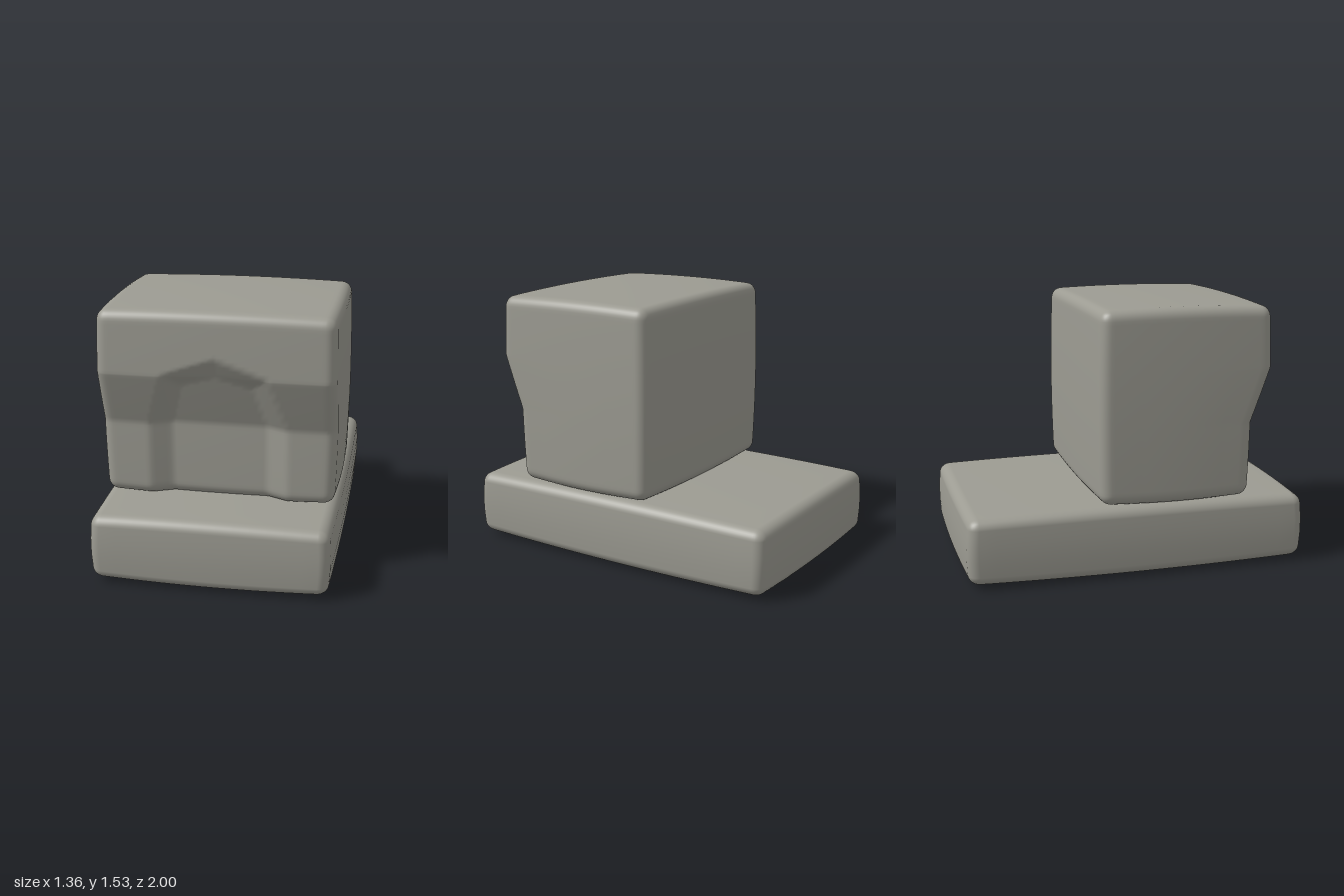
import * as THREE from 'three';
import { mergeVertices } from 'three/addons/utils/BufferGeometryUtils.js';

const { clamp } = THREE.MathUtils;

// Grid lines through the given stops, with every gap split into even steps
function gridLines(stops, step) {
  const lines = [stops[0]];
  for (let i = 1; i < stops.length; i++) {
    const a = stops[i - 1], b = stops[i];
    const n = Math.max(1, Math.ceil((b - a) / step - 1e-6));
    for (let k = 1; k <= n; k++) lines.push(a + ((b - a) * k) / n);
  }
  return lines;
}

// Pillow-like block between min and max: rounded edges, slightly bulging faces,
// then an optional sculpting rule applied to each vertex
function softBlock(min, max, radius, bulge, step, extraStops = [[], [], []], sculpt) {
  const axes = [0, 1, 2].map((a) => {
    const lo = min[a], hi = max[a];
    const stops = [lo, lo + radius, ...extraStops[a], hi - radius, hi];
    const lines = gridLines(stops, step);
    // finer lines across the rounded edges
    const fine = gridLines([lo, lo + radius], radius / 4);
    const fineEnd = gridLines([hi - radius, hi], radius / 4);
    const middle = lines.filter((v) => v > lo + radius + 1e-6 && v < hi - radius - 1e-6);
    return [...fine, ...middle, ...fineEnd];
  });
  const geo = new THREE.BoxGeometry(1, 1, 1, ...axes.map((l) => l.length - 1));
  const pos = geo.attributes.position;
  const p = new THREE.Vector3(), q = new THREE.Vector3();
  const innerMin = new THREE.Vector3(...min).addScalar(radius);
  const innerMax = new THREE.Vector3(...max).subScalar(radius);
  for (let i = 0; i < pos.count; i++) {
    p.fromBufferAttribute(pos, i);
    p.fromArray(p.toArray().map((v, a) => axes[a][Math.round((v + 0.5) * (axes[a].length - 1))]));
    q.copy(p).clamp(innerMin, innerMax);
    p.sub(q).setLength(radius).add(q);
    const u = p.toArray().map((v, a) => (2 * (v - min[a])) / (max[a] - min[a]) - 1);
    const s = u.map((v) => v * v);
    p.x -= u[0] * bulge * (s[1] + s[2]) * 0.6;
    p.y -= u[1] * bulge * (s[0] + s[2]) * 0.6;
    p.z -= u[2] * bulge * (s[0] + s[1]) * 0.6;
    if (sculpt) sculpt(p);
    pos.setXYZ(i, p.x, p.y, p.z);
  }
  geo.deleteAttribute('uv');
  geo.deleteAttribute('normal');
  const merged = mergeVertices(geo, 1e-5);
  merged.computeVertexNormals();
  return merged;
}

// How far a front point lies inside the arched niche: 0 at its rim, 1 on its floor
function nicheDepth(x, y) {
  const ax = Math.abs(x);
  const jamb = (0.39 - ax) / 0.12;
  const rimX = 0.39 - (y - 0.85) * 0.3125, floorX = 0.27 - (y - 0.85) * 0.28;
  const shoulder = (rimX - ax) / (rimX - floorX);
  const rimY = 1.27 - 0.345 * ax, floorY = 1.16 - 0.3 * ax;
  const crown = (rimY - y) / (rimY - floorY);
  return clamp(Math.min(jamb, shoulder, crown), 0, 1);
}

// Steps the lower front back and presses the niche into it
function sculptFront(p) {
  const weight = clamp(p.z / 0.6, 0, 1);
  const stepBack = 0.115 * clamp((1.16 - p.y) / 0.31, 0, 1);
  p.z -= weight * (stepBack + 0.06 * nicheDepth(p.x, p.y));
}

export function createModel() {
  const stone = new THREE.MeshStandardMaterial({ color: 0x9c9b92 });
  stone.name = 'grey stone';
  const group = new THREE.Group();
  group.name = 'stoneBlock';

  // Low slab underneath
  const slab = new THREE.Mesh(softBlock([-0.68, 0, -1], [0.68, 0.42, 1], 0.06, 0.02, 0.1), stone);
  slab.name = 'baseSlab';

  // Tall block with overhanging front and arched niche
  const stops = [[-0.39, -0.29, -0.27, -0.2, 0, 0.2, 0.27, 0.29, 0.39], [0.85, 1.1, 1.16, 1.17, 1.27], [0, 0.6]];
  const body = new THREE.Mesh(
    softBlock([-0.67, 0.4, -0.25], [0.67, 1.53, 0.78], 0.06, 0.018, 0.02, stops, sculptFront), stone);
  body.name = 'upperBlock';

  group.add(slab, body);
  return group;
}
